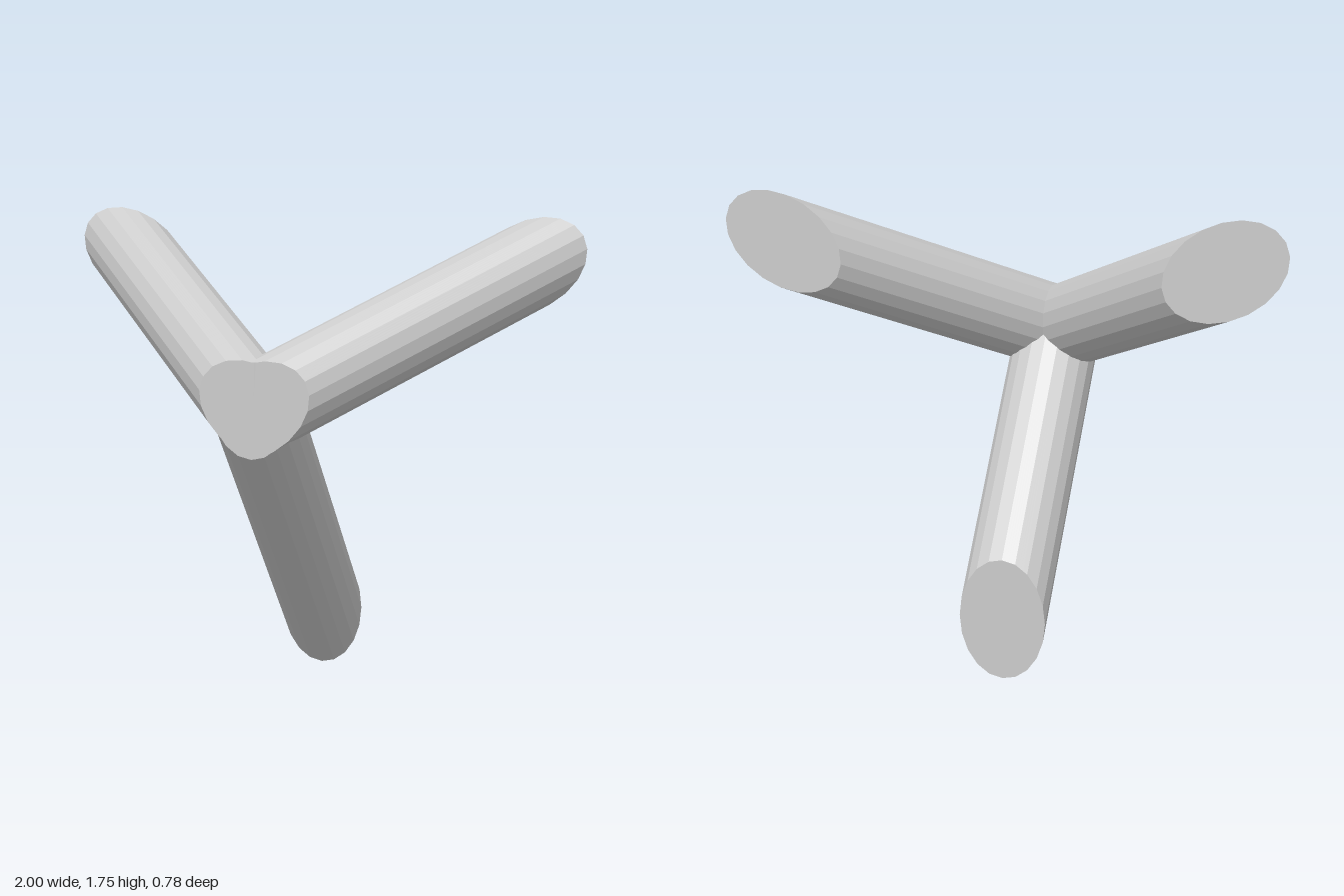
import * as THREE from 'three';

const FRONT = 0.39, DEPTH = 0.78, SIDES = 20, SUB = 6;
const MAJOR = 0.23, MINOR = 0.16; // slanted section of a round bar
const APEX = new THREE.Vector2(0, 1.16); // where the bars meet

// Slanted bar from a front centre to a back centre, both ends cut flat in z.
// planes: inward 2D normals through the apex that trim the bar at the joint.
function bar(name, front, back, planes, material) {
  const dir = back.clone().sub(front);
  const u = dir.clone().normalize();
  const v = new THREE.Vector2(-u.y, u.x);
  const corner = (k) => {
    const a = (k / SIDES) * Math.PI * 2;
    return u.clone().multiplyScalar(MAJOR * Math.cos(a)).addScaledVector(v, MINOR * Math.sin(a));
  };

  // Start and end rings; each edge line starts where it enters the trimmed zone
  const start = [], end = [];
  for (let k = 0; k < SIDES; k++) {
    for (let s = 0; s < SUB; s++) {
      const o = corner(k).lerp(corner(k + 1), s / SUB);
      const p = front.clone().add(o);
      let t = 0;
      for (const n of planes) {
        t = Math.max(t, -p.clone().sub(APEX).dot(n) / dir.dot(n));
      }
      p.addScaledVector(dir, t);
      start.push([p.x, p.y, FRONT - DEPTH * t]);
      end.push([back.x + o.x, back.y + o.y, FRONT - DEPTH]);
    }
  }

  const pos = [];
  const tri = (...pts) => pts.forEach((p) => pos.push(...p));
  const tip = [APEX.x, APEX.y, FRONT];
  const base = [back.x, back.y, FRONT - DEPTH];
  const count = start.length;
  for (let i = 0; i < count; i++) {
    const j = (i + 1) % count;
    tri(start[i], end[i], end[j]); // side
    tri(start[i], end[j], start[j]);
    tri(tip, start[i], start[j]); // front face and mitre
    tri(base, end[j], end[i]); // back face
  }
  const geometry = new THREE.BufferGeometry();
  geometry.setAttribute('position', new THREE.Float32BufferAttribute(pos, 3));
  geometry.computeVertexNormals();
  const mesh = new THREE.Mesh(geometry, material);
  mesh.name = name;
  return mesh;
}

export function createModel() {
  const group = new THREE.Group();
  group.name = 'threeWayBarJoint';
  const material = new THREE.MeshStandardMaterial({ color: 0xcccccc, flatShading: true });
  const V = (x, y) => new THREE.Vector2(x, y);

  // Two upper arms, mitred on the centre plane
  for (const [name, s] of [['leftArm', 1], ['rightArm', -1]]) {
    group.add(bar(name, V(-0.01 * s, 1.105), V(0.785 * s, 1.57), [V(s, 0)], material));
  }

  // Lower leg, trimmed to a wedge under the arms
  const c = Math.cos(Math.PI / 6);
  group.add(bar('lowerLeg', V(-0.01, 1.165), V(-0.01, 0.23), [V(-0.5, -c), V(0.5, -c)], material));
  return group;
}
